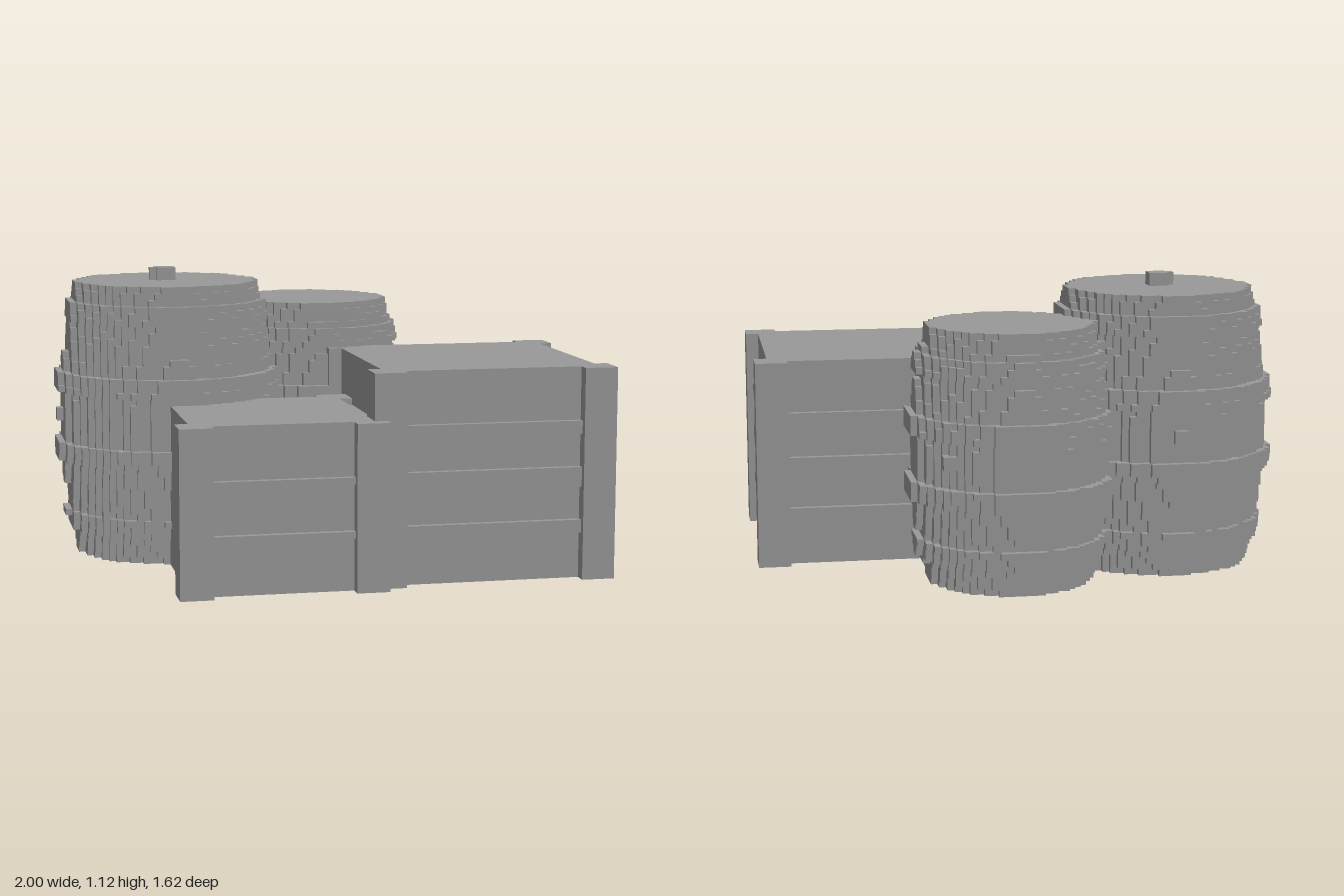
import * as THREE from 'three';

const V = 0.025; // size of one cube step

export function createModel() {
  const root = new THREE.Group();
  root.name = 'cratesAndBarrels';
  const grey = new THREE.MeshStandardMaterial({ color: 0x999999 });
  grey.name = 'plain grey';

  // Box given by its two opposite corners
  function box(parent, name, x0, x1, y0, y1, z0, z1) {
    const m = new THREE.Mesh(new THREE.BoxGeometry(x1 - x0, y1 - y0, z1 - z0), grey);
    m.position.set((x0 + x1) / 2, (y0 + y1) / 2, (z0 + z1) / 2);
    m.name = name;
    parent.add(m);
  }

  // Crate: body, four corner posts and thin horizontal ribs
  function crate(name, x0, x1, z0, z1, h, ribs, sideRibs) {
    const g = new THREE.Group();
    g.name = name;
    const post = 5 * V, inset = 2 * V;
    box(g, 'crateBody', x0 + inset, x1 - inset, 0, h, z0 + inset, z1 - inset);
    for (const x of [x0, x1 - post])
      for (const z of [z0, z1 - post]) box(g, 'cornerPost', x, x + post, 0, h, z, z + post);
    for (const [a, b] of ribs) {
      box(g, 'frontBackRib', x0 + post, x1 - post, a, b, z0 + V, z1 - V);
      if (sideRibs) box(g, 'sideRib', x0 + V, x1 - V, a, b, z0 + post, z1 - post);
    }
    root.add(g);
  }

  // Surface of stepped round layers: only the exposed cube faces are made
  function steppedRound(layers, radiusAt) {
    const radii = Array.from({ length: layers }, (_, j) => radiusAt((j + 0.5) * V));
    const solid = (i, j, k) => j >= 0 && j < layers && i * i + k * k <= radii[j] * radii[j];
    const n = Math.ceil(Math.max(...radii));
    const pos = [], nor = [];
    for (let j = 0; j < layers; j++)
      for (let i = -n; i <= n; i++)
        for (let k = -n; k <= n; k++) {
          if (!solid(i, j, k)) continue;
          const c = [i, j + 0.5, k];
          for (let axis = 0; axis < 3; axis++)
            for (const s of [-1, 1]) {
              const d = [0, 0, 0];
              d[axis] = s;
              if (solid(i + d[0], j + d[1], k + d[2])) continue;
              const u = (axis + 1) % 3, w = (axis + 2) % 3;
              const corner = (a, b) => {
                const p = c.slice();
                p[axis] += s / 2;
                p[u] += (a * s) / 2;
                p[w] += b / 2;
                return p.map((q) => q * V);
              };
              const q = [corner(-1, -1), corner(1, -1), corner(1, 1), corner(-1, 1)];
              for (const t of [0, 1, 2, 0, 2, 3]) {
                pos.push(...q[t]);
                nor.push(...d);
              }
            }
        }
    const geo = new THREE.BufferGeometry();
    geo.setAttribute('position', new THREE.Float32BufferAttribute(pos, 3));
    geo.setAttribute('normal', new THREE.Float32BufferAttribute(nor, 3));
    return geo;
  }

  // Barrel: bulging staves with raised hoops
  function barrel(name, x, z, layers, endRadius, hoops) {
    const g = new THREE.Group();
    g.name = name;
    const half = (layers * V) / 2;
    const radiusAt = (y) => {
      const t = (y - half) / half;
      const hoop = hoops.find(([a, b]) => y > a && y < b);
      return endRadius + 2.4 * (1 - t * t) + (hoop ? hoop[2] : 0);
    };
    const m = new THREE.Mesh(steppedRound(layers, radiusAt), grey);
    m.name = 'stavesAndHoops';
    g.add(m);
    g.position.set(x, 0, z);
    root.add(g);
    return g;
  }

  crate('smallCrate', -0.65, 0.125, 0.0375, 0.8125, 0.625, [[0.2, 0.225], [0.4, 0.425]], false);
  crate('largeCrate', 0.075, 1, -0.1625, 0.7625, 0.8,
    [[0.175, 0.225], [0.35, 0.425], [0.55, 0.6]], true);

  const tall = barrel('tallBarrel', -0.5625, -0.175, 43, 14.2,
    [[0.1, 0.175, 0.7], [0.375, 0.45, 1.05], [0.65, 0.725, 1.05], [0.925, 1, 0.7]]);
  // Lid knob and side bungs
  box(tall, 'lidKnob', -0.0375, 0.0375, 1.07, 1.125, -0.0375, 0.0375);
  box(tall, 'knobTip', -0.0625, -0.0375, 1.075, 1.125, -0.0125, 0.0125);
  box(tall, 'leftBung', -0.4375, -0.4, 0.525, 0.575, -0.025, 0.025);
  box(tall, 'backBung', -0.025, 0.025, 0.525, 0.575, -0.4375, -0.4);

  const short = barrel('shortBarrel', 0.0625, -0.425, 39, 12.4,
    [[0.1, 0.175, 0.75], [0.325, 0.4, 1], [0.575, 0.65, 1], [0.8, 0.875, 0.75]]);
  box(short, 'sideBung', 0.2375, 0.2875, 0.475, 0.525, -0.2875, -0.2375);

  return root;
}
